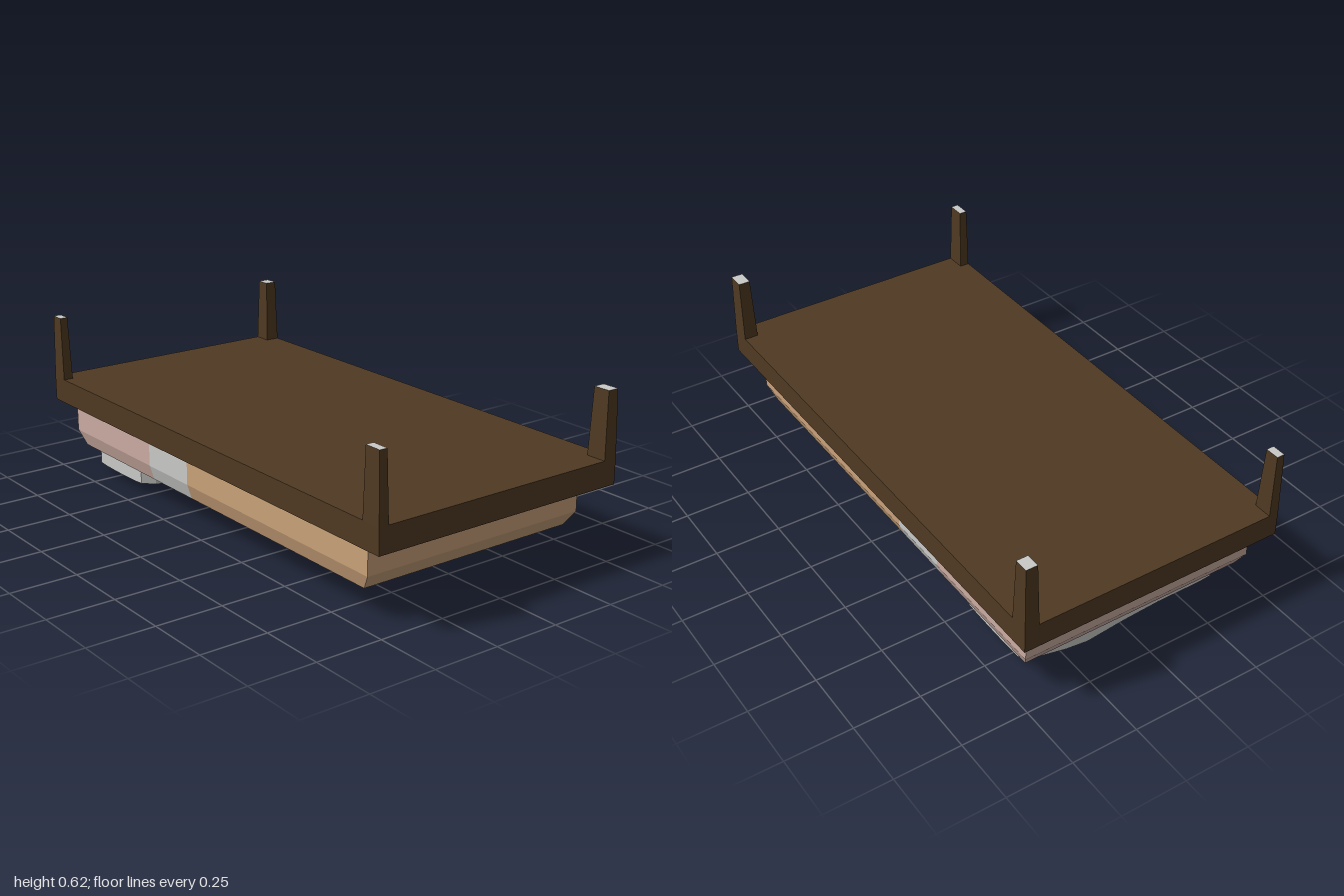
import * as THREE from 'three';

const material = (name, color) => {
  const m = new THREE.MeshStandardMaterial({ color });
  m.name = name;
  return m;
};

// Box lofted between two rectangles, each [x0, x1, z0, z1, y]
function taperedBox(low, high) {
  const geo = new THREE.BoxGeometry(1, 1, 1);
  const p = geo.attributes.position;
  for (let i = 0; i < p.count; i++) {
    const r = p.getY(i) > 0 ? high : low;
    p.setXYZ(i, p.getX(i) > 0 ? r[1] : r[0], r[4], p.getZ(i) > 0 ? r[3] : r[2]);
  }
  geo.computeVertexNormals();
  return geo;
}

// Pillow shell: cross-sections marching from back to front
function pillowGeometry() {
  const x0 = -0.85, x1 = -0.49, top = 0.105;
  // z, corner inset, height of side edge, height of middle
  const stations = [
    [-0.413, 0.03, 0.055, 0.05],
    [-0.365, 0, 0.052, 0.045],
    [-0.24, 0, 0.022, 0.018],
    [-0.15, 0, 0.01, 0.004],
    [0, 0, 0.027, 0.003],
    [0.15, 0, 0.037, 0.012],
    [0.33, 0, 0.037, 0.03],
    [0.38, 0, 0.042, 0.036],
    [0.427, 0.03, 0.047, 0.042],
  ];
  const section = ([z, inset, edge, mid]) => {
    const a = x0 + inset, b = x1 - inset, w = b - a;
    return [
      [a, top, z], [a, edge, z], [a + w * 0.15, (edge + 2 * mid) / 3, z], [a + w * 0.4, mid, z],
      [b - w * 0.4, mid, z], [b - w * 0.15, (edge + 2 * mid) / 3, z], [b, edge, z], [b, top, z],
    ];
  };
  const rows = stations.map(section);
  const lifted = (row) => row.map(([x, , z]) => [x, top, z]);
  rows.unshift(lifted(rows[0]));
  rows.push(lifted(rows[rows.length - 1]));

  const pos = [];
  for (let j = 0; j < rows.length - 1; j++) {
    for (let i = 0; i < rows[j].length - 1; i++) {
      const a = rows[j][i], b = rows[j][i + 1], c = rows[j + 1][i + 1], d = rows[j + 1][i];
      pos.push(...a, ...b, ...c, ...a, ...c, ...d);
    }
  }
  const geo = new THREE.BufferGeometry();
  geo.setAttribute('position', new THREE.Float32BufferAttribute(pos, 3));
  geo.computeVertexNormals();
  return geo;
}

export function createModel() {
  const model = new THREE.Group();
  model.name = 'bed';
  const wood = material('darkWood', 0x503a22);
  const tan = material('tanBlanket', 0xcaa27a);
  const pink = material('pinkSheet', 0xcbaca2);
  const white = material('whiteLinen', 0xcacac8);

  const add = (name, geo, mat, parent = model) => {
    const mesh = new THREE.Mesh(geo, mat);
    mesh.name = name;
    parent.add(mesh);
  };

  // Frame slab
  add('frame', taperedBox([-1, 1, -0.515, 0.515, 0.282], [-1, 1, -0.515, 0.515, 0.376]), wood);

  // Tapered corner legs with pale end caps
  const legMaterials = [wood, wood, white, wood, wood, wood];
  const spans = (s, wide, narrow, outer, slim) => s > 0
    ? [[outer - wide, outer], [outer - narrow - slim, outer - slim]]
    : [[-outer, wide - outer], [slim - outer, narrow + slim - outer]];
  for (const sx of [-1, 1]) {
    for (const sz of [-1, 1]) {
      const [lowX, highX] = spans(sx, sx > 0 ? 0.079 : 0.07, sx > 0 ? 0.065 : 0.053, 1, 0.006);
      const [lowZ, highZ] = spans(sz, sz > 0 ? 0.038 : 0.054, sz > 0 ? 0.03 : 0.044, 0.515, 0.003);
      add(`${sz > 0 ? 'front' : 'back'}${sx > 0 ? 'Left' : 'Right'}Leg`,
        taperedBox([...lowX, ...lowZ, 0.376], [...highX, ...highZ, 0.62]), legMaterials);
    }
  }

  // Mattress in three coloured sections: upright walls, then a bevel
  const mattress = new THREE.Group();
  mattress.name = 'mattress';
  model.add(mattress);
  const sections = [
    ['sheet', pink, -0.93, -0.395, -0.895, -0.395],
    ['sheetFold', white, -0.395, -0.14, -0.395, -0.14],
    ['blanket', tan, -0.14, 0.885, -0.14, 0.847],
  ];
  for (const [name, mat, a, b, bevelA, bevelB] of sections) {
    const middle = [a, b, -0.461, 0.463, 0.162];
    add(name + 'Sides', taperedBox(middle, [a, b, -0.461, 0.463, 0.282]), mat, mattress);
    add(name + 'Bevel', taperedBox([bevelA, bevelB, -0.438, 0.445, 0.105], middle), mat, mattress);
  }

  // Pillow
  add('pillow', pillowGeometry(), white);
  return model;
}
